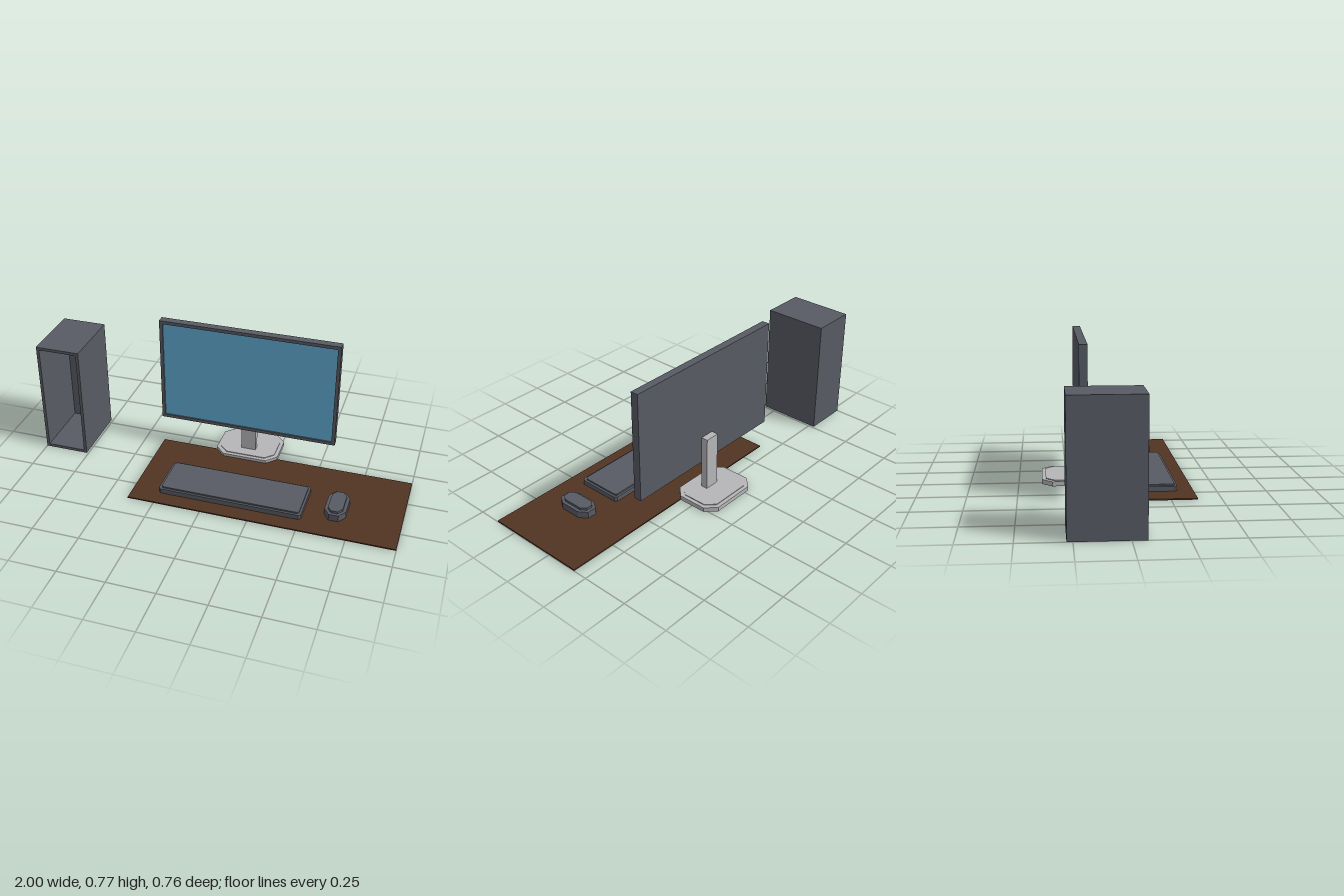
import * as THREE from 'three';

const mat = (name, color) => {
  const m = new THREE.MeshStandardMaterial({ color });
  m.name = name;
  return m;
};

export function createModel() {
  const root = new THREE.Group();
  root.name = 'desktopComputer';
  const charcoal = mat('charcoal plastic', 0x585b64);
  const silver = mat('silver stand', 0xb6b6b9);
  const blue = mat('blue screen', 0x62abd3);
  const brown = mat('brown mat', 0x513322);

  const group = (name) => {
    const g = new THREE.Group();
    g.name = name;
    root.add(g);
    return g;
  };
  const add = (parent, name, geometry, material) => {
    const m = new THREE.Mesh(geometry, material);
    m.name = name;
    parent.add(m);
  };

  // Box given by its limits on each axis
  const box = (x0, x1, y0, y1, z0, z1) =>
    new THREE.BoxGeometry(x1 - x0, y1 - y0, z1 - z0)
      .translate((x0 + x1) / 2, (y0 + y1) / 2, (z0 + z1) / 2);

  // Flat slab with four cut corners
  const slab = (x0, x1, y0, y1, z0, z1, cx, cz = cx) => {
    const pts = [
      [x0 + cx, -z1], [x1 - cx, -z1], [x1, -z1 + cz], [x1, -z0 - cz],
      [x1 - cx, -z0], [x0 + cx, -z0], [x0, -z0 - cz], [x0, -z1 + cz],
    ].map(([x, y]) => new THREE.Vector2(x, y));
    return new THREE.ExtrudeGeometry(new THREE.Shape(pts), { depth: y1 - y0, bevelEnabled: false })
      .rotateX(-Math.PI / 2).translate(0, y0, 0);
  };

  // Rectangular sleeve, open towards the front
  const sleeve = (x0, x1, y0, y1, z0, z1, wall) => {
    const rect = (C, a, b, c, d) => new C([[a, c], [b, c], [b, d], [a, d]].map(([x, y]) => new THREE.Vector2(x, y)));
    const shape = rect(THREE.Shape, x0, x1, y0, y1);
    shape.holes.push(rect(THREE.Path, x0 + wall, x1 - wall, y0 + wall, y1 - wall));
    return new THREE.ExtrudeGeometry(shape, { depth: z1 - z0, bevelEnabled: false }).translate(0, 0, z0);
  };

  // Desk mat
  add(root, 'deskMat', box(-0.39, 1, 0.001, 0.008, -0.175, 0.38), brown);

  // Hollow computer case, open at the front
  const tower = group('computerCase');
  add(tower, 'caseWalls', sleeve(-1, -0.76, 0, 0.627, -0.262, 0.07, 0.016), charcoal);
  add(tower, 'caseBack', box(-1, -0.76, 0, 0.627, -0.277, -0.262), charcoal);

  // Monitor with a slightly sunken screen
  const monitor = group('monitor');
  add(monitor, 'monitorBack', box(-0.39, 0.576, 0.175, 0.766, -0.198, -0.168), charcoal);
  add(monitor, 'bezel', sleeve(-0.39, 0.576, 0.175, 0.766, -0.168, -0.156, 0.018), charcoal);
  add(monitor, 'screen', box(-0.372, 0.558, 0.193, 0.748, -0.168, -0.163), blue);

  // Stand: two stepped plates and a column
  const stand = group('monitorStand');
  add(stand, 'standBase', slab(-0.08, 0.265, 0, 0.024, -0.38, -0.12, 0.053), silver);
  add(stand, 'standTop', slab(-0.06, 0.245, 0.024, 0.028, -0.36, -0.14, 0.045), silver);
  add(stand, 'standColumn', box(0.053, 0.133, 0.028, 0.323, -0.235, -0.198), silver);

  // Keyboard
  const keyboard = group('keyboard');
  add(keyboard, 'keyboardBody', slab(-0.25, 0.507, 0.002, 0.034, 0.05, 0.298, 0.012), charcoal);
  add(keyboard, 'keyPlate', slab(-0.238, 0.495, 0.034, 0.042, 0.062, 0.286, 0.01), charcoal);

  // Mouse
  const mouse = group('mouse');
  add(mouse, 'mouseBody', slab(0.61, 0.72, 0.002, 0.044, 0.058, 0.256, 0.03, 0.043), charcoal);
  add(mouse, 'mouseTop', slab(0.627, 0.703, 0.044, 0.057, 0.075, 0.24, 0.021, 0.027), charcoal);

  return root;
}
